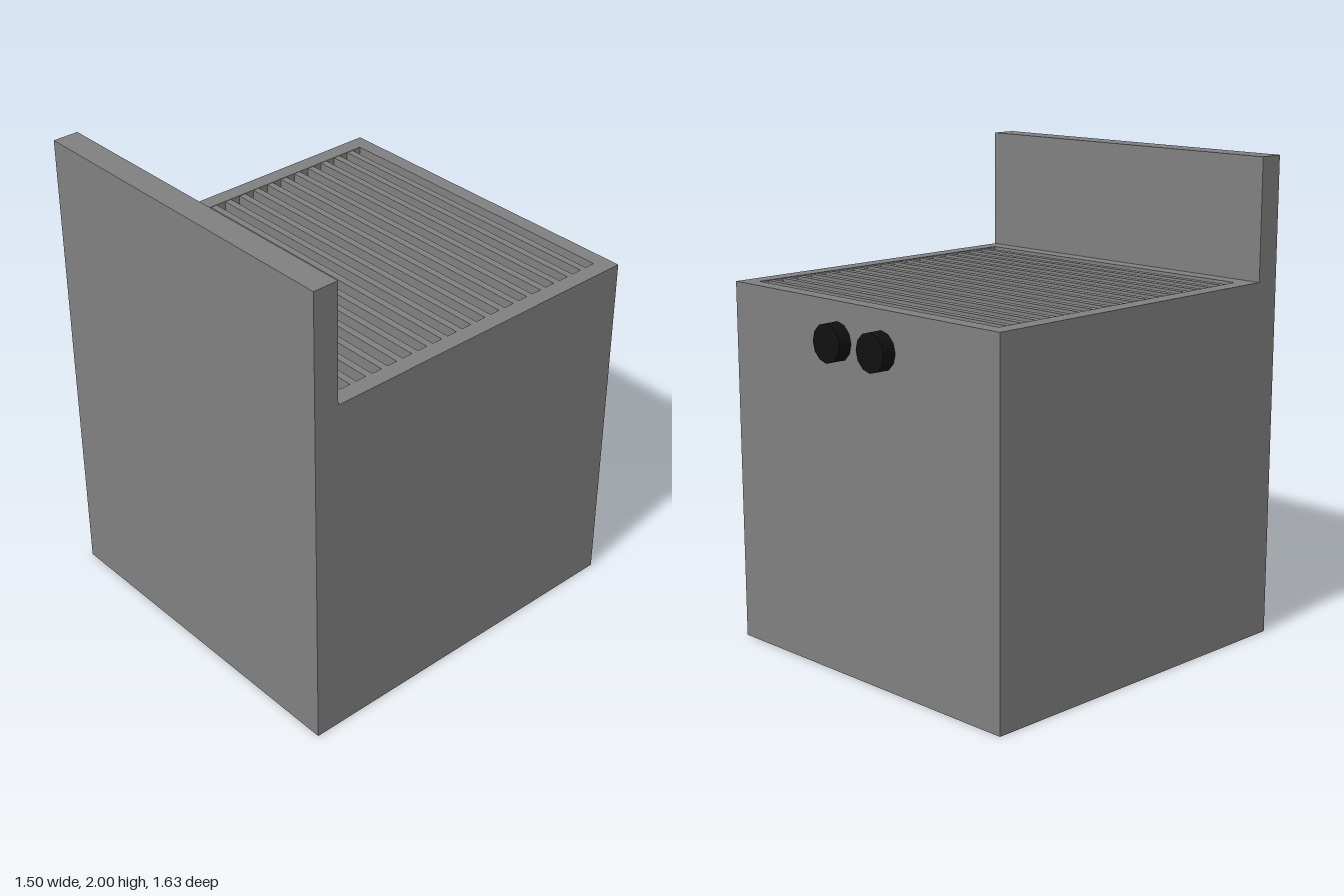
import * as THREE from 'three';

export function createModel() {
  const model = new THREE.Group();
  const grey = new THREE.MeshStandardMaterial({ color: 0x808080 });
  grey.name = 'grey casing';
  const black = new THREE.MeshStandardMaterial({ color: 0x101010 });
  black.name = 'black knob';

  // Box given by its low and high corner
  const box = (name, [x0, y0, z0], [x1, y1, z1], parent = model) => {
    const mesh = new THREE.Mesh(new THREE.BoxGeometry(x1 - x0, y1 - y0, z1 - z0), grey);
    mesh.position.set((x0 + x1) / 2, (y0 + y1) / 2, (z0 + z1) / 2);
    mesh.name = name;
    parent.add(mesh);
  };

  const top = 1.5, floor = 1.42, back = -0.755, front = 0.705;

  // Solid body below the grill recess
  box('body', [-0.75, 0, back], [0.75, floor, front]);

  // Rim around the recess
  const outline = new THREE.Shape([[-0.75, -front], [0.75, -front], [0.75, -back], [-0.75, -back]]
    .map(([x, y]) => new THREE.Vector2(x, y)));
  outline.holes.push(new THREE.Path([[-0.68, -0.635], [-0.68, 0.69], [0.68, 0.69], [0.68, -0.635]]
    .map(([x, y]) => new THREE.Vector2(x, y))));
  const rim = new THREE.Mesh(
    new THREE.ExtrudeGeometry(outline, { depth: top - floor, bevelEnabled: false }).rotateX(-Math.PI / 2), grey);
  rim.position.y = floor;
  rim.name = 'rim';
  model.add(rim);

  // Tall panel rising above the top
  box('uprightPanel', [-0.75, 0, front], [0.75, 2, 0.813]);

  // Evenly spaced bars across the recess
  const grill = new THREE.Group();
  grill.name = 'grill';
  for (let i = 0; i < 17; i++) {
    const z = -0.631 + i * 0.0751;
    box('grillBar', [-0.68, floor, z - 0.015], [0.68, top - 0.002, z + 0.015], grill);
  }
  model.add(grill);

  // Pair of control knobs
  for (const x of [-0.127, 0.123]) {
    const knob = new THREE.Mesh(
      new THREE.CylinderGeometry(0.078, 0.078, 0.058, 12).rotateX(Math.PI / 2), black);
    knob.position.set(x, 1.343, back - 0.029);
    knob.name = 'knob';
    model.add(knob);
  }
  return model;
}
